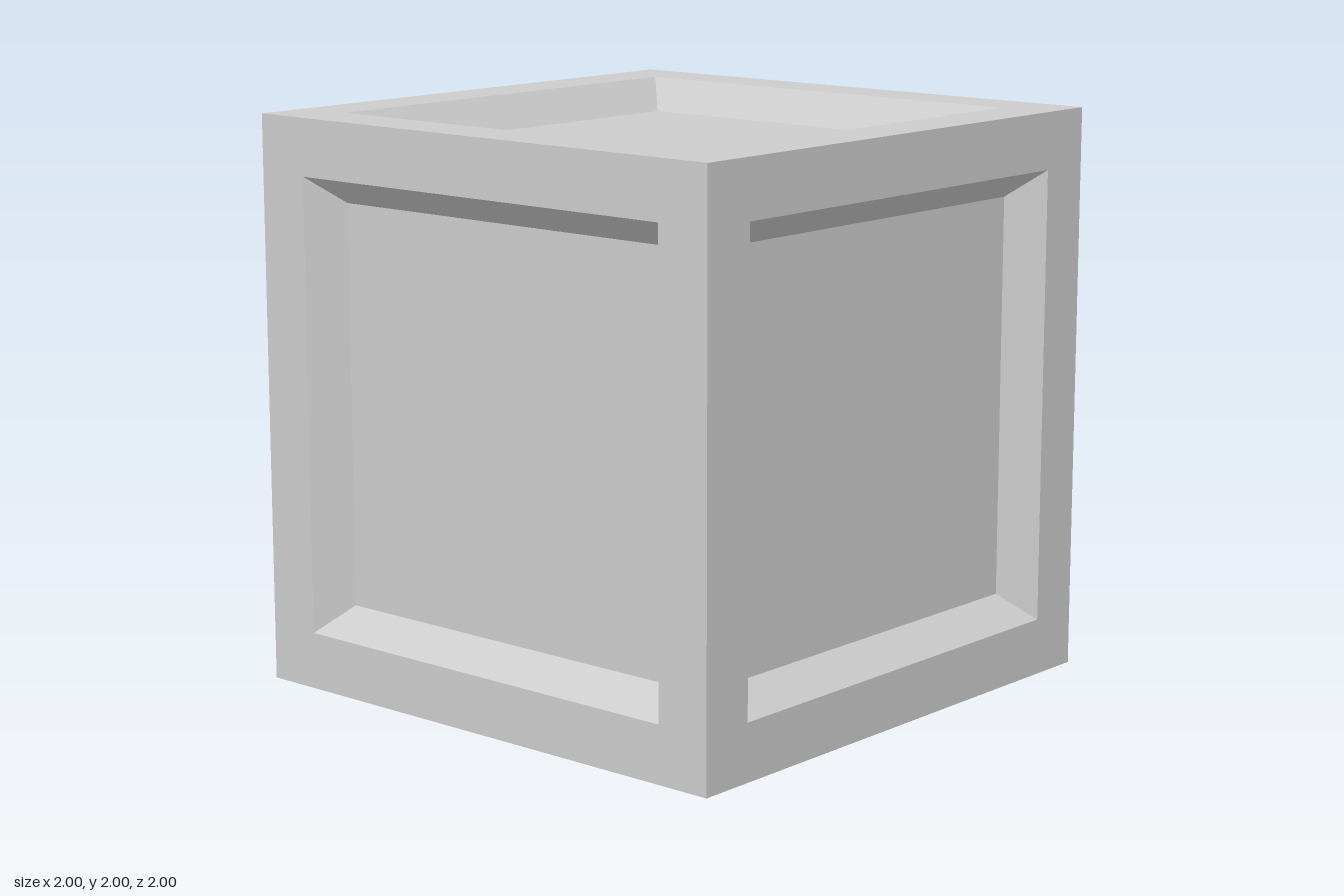
import * as THREE from 'three';

const HALF = 1;        // half the cube's edge
const RIM = 0.8;       // half-width of the recess opening
const FLOOR = 0.707;   // half-width of the recess floor
const DEPTH = 0.115;   // depth of the recess

// Square ring facing +y: a four-sided lathe through (half-width, height) pairs, listed outside in
function squareRing(profile) {
  const points = profile.map(([half, y]) => new THREE.Vector2(half * Math.SQRT2, y));
  const geometry = new THREE.LatheGeometry(points, 4, Math.PI / 4).toNonIndexed();
  geometry.computeVertexNormals();
  return geometry;
}

export function createModel() {
  const model = new THREE.Group();
  model.name = 'recessedCube';
  const material = new THREE.MeshStandardMaterial({ color: 0xcccccc, flatShading: true });

  const parts = {
    frame: squareRing([[HALF, HALF], [RIM, HALF]]),
    bevel: squareRing([[RIM, HALF], [FLOOR, HALF - DEPTH]]),
    insetPanel: new THREE.PlaneGeometry(2 * FLOOR, 2 * FLOOR)
      .rotateX(-Math.PI / 2)
      .translate(0, HALF - DEPTH, 0),
  };

  // The same recessed side, turned to face all six directions
  const quarter = Math.PI / 2;
  const sides = {
    top: [0, 0],
    bottom: [2 * quarter, 0],
    front: [quarter, 0],
    back: [-quarter, 0],
    left: [0, -quarter],
    right: [0, quarter],
  };
  for (const [sideName, [rx, rz]] of Object.entries(sides)) {
    const side = new THREE.Group();
    side.name = `${sideName}Side`;
    for (const [partName, geometry] of Object.entries(parts)) {
      const mesh = new THREE.Mesh(geometry, material);
      mesh.name = partName;
      side.add(mesh);
    }
    side.rotation.set(rx, 0, rz);
    side.position.y = HALF;
    model.add(side);
  }
  return model;
}
